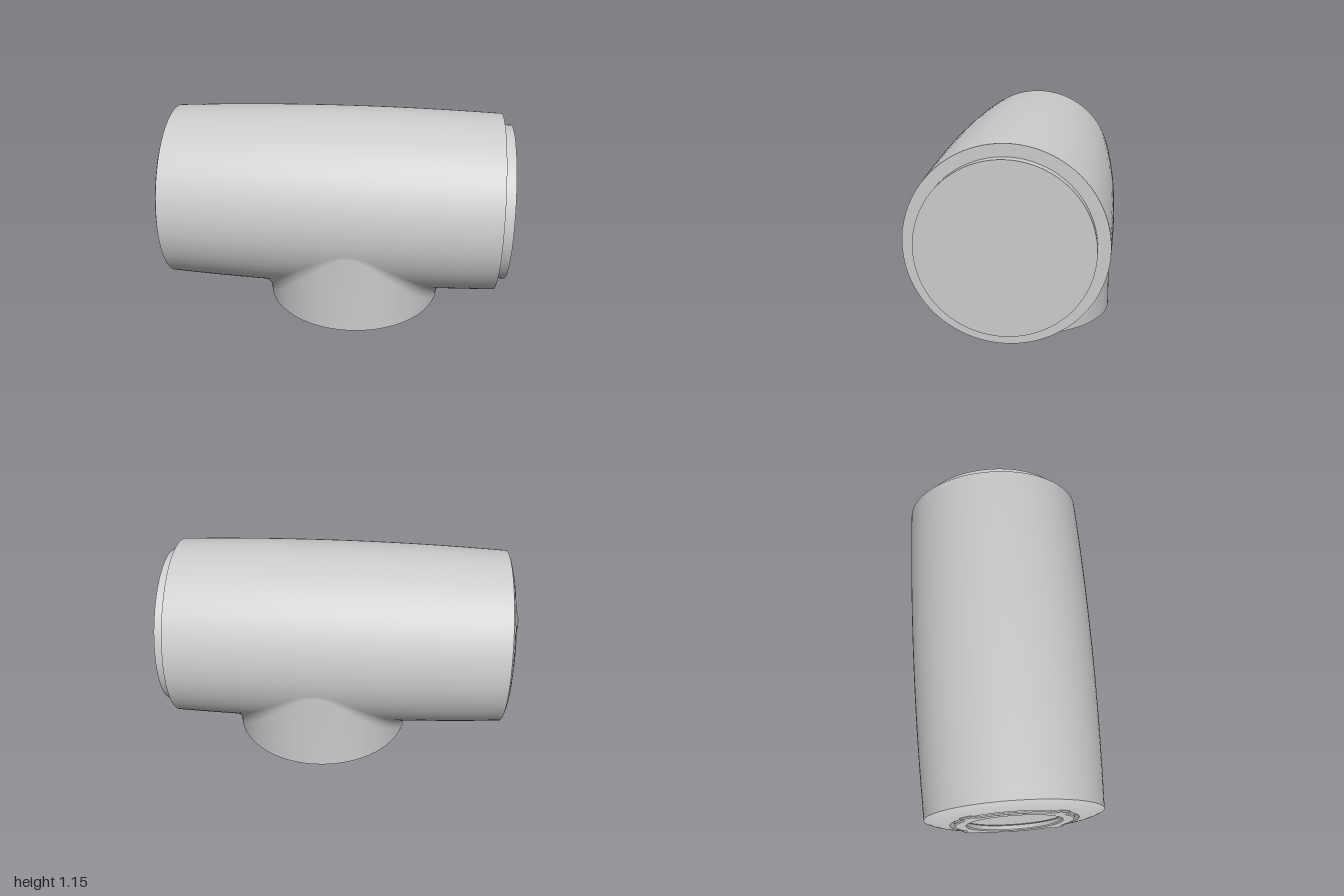
import * as THREE from 'three';
import { toCreasedNormals } from 'three/addons/utils/BufferGeometryUtils.js';

const AXIS_Y = 0.619;                 // height of the barrel axis
const LEG_X = 0.105, LEG_R = 0.515;   // leg centre and radius
const FILLET = 0.093;                 // blend radius between leg and barrel

const material = new THREE.MeshStandardMaterial({ color: 0xcccccc });

// Barrel radius along x: a gentle barrel-shaped swelling
const barrelRadius = (x) => {
  const d = x - 0.12;
  return 0.534 - (d < 0 ? 0.0265 : 0.025) * d * d;
};

function addMesh(group, name, geometry) {
  const mesh = new THREE.Mesh(geometry, material);
  mesh.name = name;
  group.add(mesh);
  return mesh;
}

// Lathe from [radius, height] points, with sharp edges kept
function lathe(points, segments = 96) {
  const geo = new THREE.LatheGeometry(points.map(([r, h]) => new THREE.Vector2(r, h)), segments);
  return toCreasedNormals(geo, 0.5);
}

// Lathe around the barrel axis
const latheX = (points) => lathe(points).rotateZ(-Math.PI / 2).translate(0, AXIS_Y, 0);

// Leg wall rising into a rolling-ball fillet that meets the barrel
function legGeometry(around = 128, arcSteps = 12) {
  const rows = arcSteps + 2, positions = [], indices = [];
  for (let i = 0; i <= around; i++) {
    const a = (i / around) * Math.PI * 2, c = Math.cos(a), s = Math.sin(a);
    const x = LEG_X + (LEG_R + FILLET) * c, z = (LEG_R + FILLET) * s;
    const reach = barrelRadius(x) + FILLET;
    const y = AXIS_Y - Math.sqrt(reach * reach - z * z);
    const ball = new THREE.Vector3(x, y, z);
    const toLeg = new THREE.Vector3(-c, 0, -s);
    const toBarrel = new THREE.Vector3(0, AXIS_Y - y, -z).normalize();
    const angle = toLeg.angleTo(toBarrel);
    positions.push(LEG_X + LEG_R * c, 0, LEG_R * s);
    for (let j = 0; j <= arcSteps; j++) {
      const t = j / arcSteps;
      const p = toLeg.clone().multiplyScalar(Math.sin((1 - t) * angle))
        .addScaledVector(toBarrel, Math.sin(t * angle)).normalize()
        .multiplyScalar(FILLET).add(ball);
      positions.push(p.x, Math.max(p.y, 0), p.z);
    }
  }
  for (let i = 0; i < around; i++) {
    for (let j = 0; j < rows - 1; j++) {
      const p = i * rows + j, q = p + rows;
      indices.push(p, p + 1, q, q, p + 1, q + 1);
    }
  }
  const geo = new THREE.BufferGeometry();
  geo.setAttribute('position', new THREE.Float32BufferAttribute(positions, 3));
  geo.setIndex(indices);
  geo.computeVertexNormals();
  return toCreasedNormals(geo, 0.6);
}

// Ring plate with four diagonal locking tabs
function tabbedRing() {
  const outline = [], steps = 240;
  for (let i = 0; i < steps; i++) {
    const a = (i / steps) * Math.PI * 2;
    const quarter = a % (Math.PI / 2);
    const off = Math.abs(quarter - Math.PI / 4);
    const tab = THREE.MathUtils.clamp((0.17 - off) / 0.06, 0, 1);
    const r = 0.335 + 0.045 * tab;
    outline.push(new THREE.Vector2(r * Math.cos(a), r * Math.sin(a)));
  }
  const shape = new THREE.Shape(outline);
  shape.holes.push(new THREE.Path().absarc(0, 0, 0.265, 0, Math.PI * 2, true));
  return new THREE.ExtrudeGeometry(shape, {
    depth: 0.022, curveSegments: 48,
    bevelEnabled: true, bevelThickness: 0.006, bevelSize: 0.006, bevelOffset: -0.006, bevelSegments: 1,
  });
}

export function createModel() {
  const model = new THREE.Group();
  model.name = 'teeFitting';

  // Swelling main barrel
  const wall = [];
  for (let i = 0; i <= 24; i++) {
    const x = -0.96 + (1.9 * i) / 24;
    wall.push([barrelRadius(x), x]);
  }
  addMesh(model, 'barrel', latheX(wall));

  // Stepped plug at the +x end
  addMesh(model, 'endPlug', latheX([[barrelRadius(0.94), 0.94], [0.452, 0.94], [0.452, 1], [0, 1]]));

  // Domed cap at the -x end, with a sunken centre and a groove round the ring
  addMesh(model, 'domedCap', latheX([
    [0, -0.965], [0.355, -0.965], [0.36, -0.992], [0.4, -0.987],
    [0.44, -0.98], [0.475, -0.971], [barrelRadius(-0.96), -0.96],
  ]));
  const ring = addMesh(model, 'lockingRing', tabbedRing().rotateY(-Math.PI / 2));
  ring.position.set(-0.972, AXIS_Y, 0);

  // Leg with its blend into the barrel
  addMesh(model, 'leg', legGeometry());

  // Recessed underside of the leg
  const base = addMesh(model, 'legRim', lathe([[0, 0.05], [0.482, 0.05], [0.482, 0], [LEG_R, 0]], 128));
  base.position.x = LEG_X;

  return model;
}
